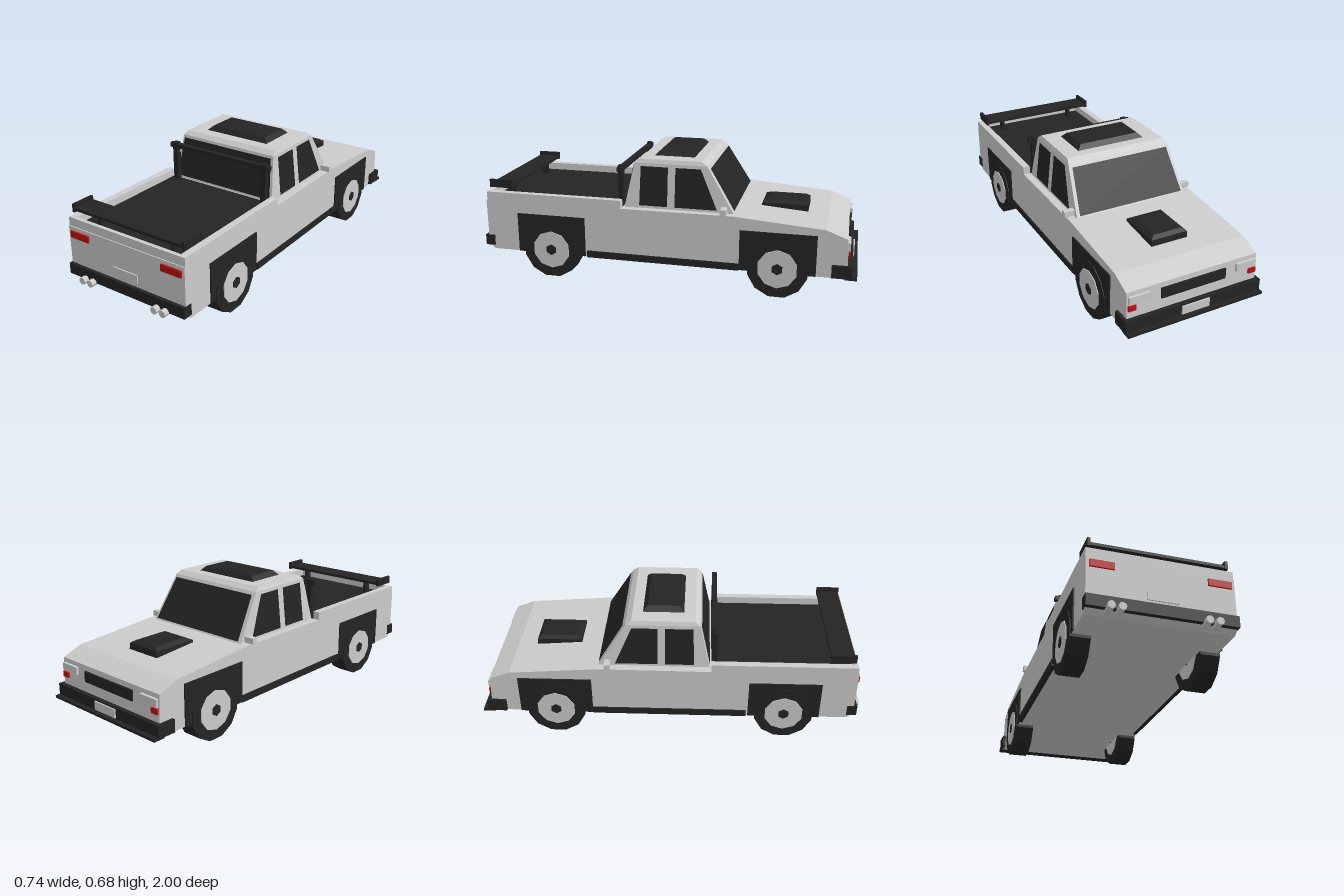
import * as THREE from 'three';

const mat = (name, color) => Object.assign(new THREE.MeshStandardMaterial({ color, flatShading: true }), { name });

export function createModel() {
  const truck = new THREE.Group();
  truck.name = 'pickupTruck';
  const paint = mat('silverPaint', 0xcccccc);
  const black = mat('blackTrim', 0x242424);
  const red = mat('redLight', 0xc01010);
  const glass = mat('darkGlass', 0x242424);
  glass.side = THREE.DoubleSide;

  const add = (name, geo, material) => {
    const m = new THREE.Mesh(geo, material);
    m.name = name;
    truck.add(m);
    return m;
  };
  // Box given by its extents
  const box = (name, material, x0, x1, y0, y1, z0, z1) => {
    const g = new THREE.BoxGeometry(x1 - x0, y1 - y0, z1 - z0);
    g.translate((x0 + x1) / 2, (y0 + y1) / 2, (z0 + z1) / 2);
    return add(name, g, material);
  };
  // The same box on both sides
  const pair = (name, material, x0, x1, ...rest) => {
    box(name + 'Left', material, x0, x1, ...rest);
    box(name + 'Right', material, -x1, -x0, ...rest);
  };
  // Solid from rectangular rings [y, halfWidth, zMin, zMax], bottom to top
  const loft = (name, material, rings) => {
    const pos = [];
    const rect = ([y, w, a, b]) => [[-w, y, b], [w, y, b], [w, y, a], [-w, y, a]];
    const quad = (a, b, c, d) => pos.push(...a, ...b, ...c, ...a, ...c, ...d);
    const r = rings.map(rect);
    for (let i = 0; i < r.length - 1; i++)
      for (let k = 0; k < 4; k++) {
        const n = (k + 1) % 4;
        quad(r[i][k], r[i][n], r[i + 1][n], r[i + 1][k]);
      }
    quad(...r[r.length - 1]);
    quad(...r[0].slice().reverse());
    const g = new THREE.BufferGeometry();
    g.setAttribute('position', new THREE.Float32BufferAttribute(pos, 3));
    g.computeVertexNormals();
    return add(name, g, material);
  };
  // Flat four-cornered pane
  const pane = (name, a, b, c, d) => {
    const g = new THREE.BufferGeometry();
    g.setAttribute('position', new THREE.Float32BufferAttribute([a, b, c, a, c, d].flat(), 3));
    g.computeVertexNormals();
    add(name, g, glass);
  };

  // Lower body with sloping hood, from a side profile (z, y)
  const profile = [[0.955, 0.4], [-0.38, 0.405], [-0.84, 0.37], [-0.945, 0.33],
    [-0.955, 0.125], [0.92, 0.125], [0.955, 0.15]];
  const body = new THREE.ExtrudeGeometry(
    new THREE.Shape(profile.map(([z, y]) => new THREE.Vector2(z, y))), { depth: 0.708, bevelEnabled: false });
  body.rotateY(-Math.PI / 2).translate(0.354, 0, 0);
  add('body', body, paint);

  // Cargo bed
  pair('bedRail', paint, 0.317, 0.354, 0.395, 0.445, 0.205, 0.95);
  box('tailgateTop', paint, -0.317, 0.317, 0.395, 0.445, 0.93, 0.95);
  box('bedFloor', black, -0.317, 0.317, 0.398, 0.406, 0.205, 0.93);

  // Cab and its windows
  loft('cab', paint, [[0.4, 0.313, -0.38, 0.195], [0.635, 0.287, -0.235, 0.145], [0.655, 0.278, -0.205, 0.12]]);
  const tOf = y => (y - 0.4) / 0.235;
  const sideX = y => 0.313 - 0.026 * tOf(y);
  const front = (s, y) => [s * (sideX(y) - 0.016), y, -0.387 + 0.145 * tOf(y)];
  const rear = (s, y) => [s * (sideX(y) - 0.012), y, 0.2 - 0.05 * tOf(y)];
  pane('windshield', front(1, 0.415), front(-1, 0.415), front(-1, 0.622), front(1, 0.622));
  pane('rearWindow', rear(-1, 0.415), rear(1, 0.415), rear(1, 0.622), rear(-1, 0.622));
  for (const s of [1, -1]) {
    const p = (y, z) => [s * (sideX(y) + 0.004), y, z];
    pane('rearSideWindow', p(0.417, 0.115), p(0.417, -0.033), p(0.62, -0.033), p(0.62, 0.11));
    pane('doorWindow', p(0.417, -0.072), p(0.417, -0.292), p(0.62, -0.203), p(0.62, -0.072));
  }
  pair('mirror', paint, 0.305, 0.364, 0.407, 0.437, -0.345, -0.315);

  // Scoops
  loft('roofScoop', black, [[0.65, 0.195, -0.155, 0.065], [0.679, 0.165, -0.128, 0.038]]);
  loft('hoodScoop', black, [[0.37, 0.1, -0.735, -0.485], [0.41, 0.098, -0.732, -0.495], [0.424, 0.075, -0.71, -0.525]]);

  // Roll bar
  pair('rollBarPost', black, 0.266, 0.296, 0.4, 0.617, 0.206, 0.232);
  box('rollBarTop', black, -0.315, 0.315, 0.586, 0.61, 0.206, 0.232);

  // Rear wing
  box('wing', black, -0.33, 0.33, 0.475, 0.49, 0.81, 0.93);
  pair('wingEndPlate', black, 0.326, 0.341, 0.468, 0.51, 0.81, 0.935);
  pair('wingSupport', black, 0.217, 0.233, 0.4, 0.476, 0.84, 0.88);

  // Wheel arches, sills
  pair('rearArch', black, 0.34, 0.361, 0.126, 0.337, 0.402, 0.777);
  pair('frontArch', black, 0.34, 0.361, 0.126, 0.337, -0.8, -0.416);
  pair('sill', black, 0.34, 0.361, 0.122, 0.158, -0.416, 0.392);

  // Wheels
  const disc = (name, r, width, sides, material, x, z) => {
    const g = new THREE.CylinderGeometry(r, r, width, sides);
    g.rotateY(Math.PI / sides).rotateZ(Math.PI / 2).translate(x, 0.15, z);
    add(name, g, material);
  };
  for (const x of [0.315, -0.315])
    for (const z of [0.59, -0.61]) {
      disc('tyre', 0.1553, 0.1, 12, black, x, z);
      disc('rim', 0.102, 0.108, 10, paint, x, z);
      disc('hub', 0.03, 0.114, 6, black, x, z);
    }

  // Bumpers
  box('frontBumper', black, -0.37, 0.37, 0.13, 0.195, -0.975, -0.94);
  pair('frontBumperEnd', black, 0.34, 0.37, 0.13, 0.195, -0.94, -0.875);
  box('frontLip', black, -0.37, 0.37, 0.125, 0.138, -1, -0.94);
  box('rearBumper', black, -0.358, 0.358, 0.145, 0.202, 0.92, 0.972);

  // Lights, grille, plates
  pair('tailLight', red, 0.222, 0.338, 0.345, 0.38, 0.955, 0.964);
  pair('headlight', paint, 0.235, 0.345, 0.268, 0.308, -0.96, -0.945);
  pair('frontMarker', red, 0.308, 0.348, 0.235, 0.262, -0.96, -0.95);
  box('grille', black, -0.175, 0.175, 0.25, 0.303, -0.957, -0.945);
  box('rearPlate', paint, -0.075, 0.075, 0.222, 0.268, 0.954, 0.961);
  box('frontPlate', paint, -0.075, 0.075, 0.143, 0.187, -0.982, -0.974);

  // Exhaust pipes
  for (const x of [-0.25, -0.2, 0.2, 0.25]) {
    const g = new THREE.CylinderGeometry(0.019, 0.019, 0.1, 8);
    g.rotateX(Math.PI / 2).translate(x, 0.148, 0.95);
    add('exhaustPipe', g, paint);
  }
  return truck;
}
